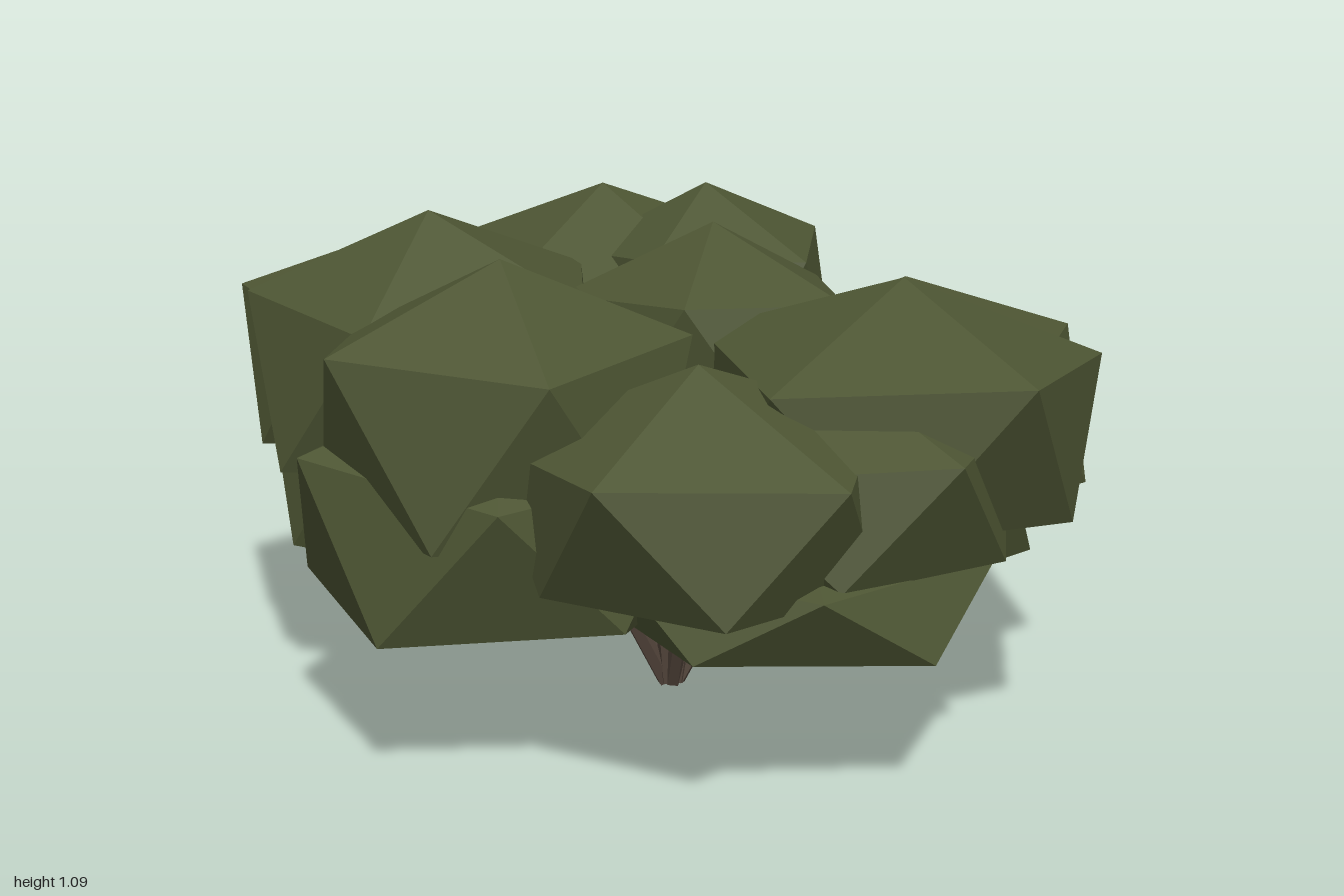
import * as THREE from 'three';
import { ConvexGeometry } from 'three/addons/geometries/ConvexGeometry.js';

const leafMaterial = new THREE.MeshStandardMaterial({ color: 0x4d5533, flatShading: true });
const stemMaterial = new THREE.MeshStandardMaterial({ color: 0x54463c, flatShading: true });

// Clumps: centre x, y, z, horizontal radius, half height,
// bearing of one upper corner (degrees from +z towards +x), width of the lower ring relative to the upper
const upperClumps = [
  [-0.51, 0.72, 0.09, 0.455, 0.35, -20, 0.94],
  [0.51, 0.62, 0.21, 0.47, 0.31, 74, 0.98],
  [0.20, 0.69, 0.55, 0.50, 0.33, -5, 0.84],
  [-0.32, 0.59, 0.52, 0.48, 0.31, -65, 0.84],
  [0.11, 0.78, 0.01, 0.38, 0.29, 168, 1],
  [-0.38, 0.74, -0.40, 0.46, 0.35, -52, 0.96],
  [-0.32, 0.70, -0.62, 0.44, 0.31, 155, 0.90],
  [0.22, 0.73, -0.57, 0.48, 0.34, 146, 0.90],
  [0.35, 0.79, -0.33, 0.35, 0.30, 84, 0.95],
  [-0.02, 0.60, 0.58, 0.45, 0.27, 0, 0.9],
];
const lowerClumps = [
  [0.41, 0.45, 0.14, 0.47, 0.30, 14, 1],
  [-0.49, 0.49, 0.05, 0.49, 0.34, -106, 1],
  [0.39, 0.50, -0.46, 0.44, 0.33, 105, 1],
  [-0.07, 0.41, 0.53, 0.47, 0.18, 40, 1],
  [-0.30, 0.50, -0.45, 0.47, 0.33, -130, 1],
  [0.02, 0.50, 0.00, 0.45, 0.32, 0, 1],
  [0.42, 0.51, 0.43, 0.27, 0.12, 20, 1],
];

// Squashed, slightly uneven icosahedron with a corner on top and a flatter underside
function clump([x, y, z, r, h, bearing, lowerWidth], name, index) {
  const points = [new THREE.Vector3(0, h, 0), new THREE.Vector3(0, -h * 0.7, 0)];
  for (let i = 0; i < 10; i++) {
    const a = THREE.MathUtils.degToRad(bearing + i * 36);
    const wobble = i === 0 ? 1 : 1 + 0.03 * Math.sin(i * 2.7 + index * 1.9);
    const radius = r * 0.9 * wobble * (i % 2 ? lowerWidth : 1);
    const level = (i % 2 ? -0.48 : 0.48) * h + 0.07 * h * Math.sin(i * 4.1 + index);
    points.push(new THREE.Vector3(Math.sin(a) * radius, level, Math.cos(a) * radius));
  }
  const mesh = new THREE.Mesh(new ConvexGeometry(points), leafMaterial);
  mesh.position.set(x, y, z);
  mesh.name = name;
  return mesh;
}

// Straight stem between two points
function stem(from, to) {
  const length = from.distanceTo(to);
  const mesh = new THREE.Mesh(new THREE.CylinderGeometry(0.02, 0.02, length, 5), stemMaterial);
  mesh.position.copy(from).lerp(to, 0.5);
  mesh.quaternion.setFromUnitVectors(new THREE.Vector3(0, 1, 0), to.clone().sub(from).normalize());
  mesh.name = 'stem';
  return mesh;
}

export function createModel() {
  const model = new THREE.Group();
  model.name = 'bush';

  const foliage = new THREE.Group();
  foliage.name = 'foliage';
  upperClumps.forEach((c, i) => foliage.add(clump(c, 'upperLeafClump', i)));
  lowerClumps.forEach((c, i) => foliage.add(clump(c, 'lowerLeafClump', i + 20)));
  model.add(foliage);

  // Stems fan out from the ground into the leaves
  const stems = new THREE.Group();
  stems.name = 'stems';
  for (let i = 0; i < 10; i++) {
    const a = i * Math.PI / 5 + 0.26;
    const spread = i % 2 ? 0.24 : 0.09;
    stems.add(stem(
      new THREE.Vector3(Math.sin(a) * 0.015, 0.01, Math.cos(a) * 0.015),
      new THREE.Vector3(Math.sin(a) * spread, 0.42, Math.cos(a) * spread * 0.9)));
  }
  model.add(stems);
  return model;
}
